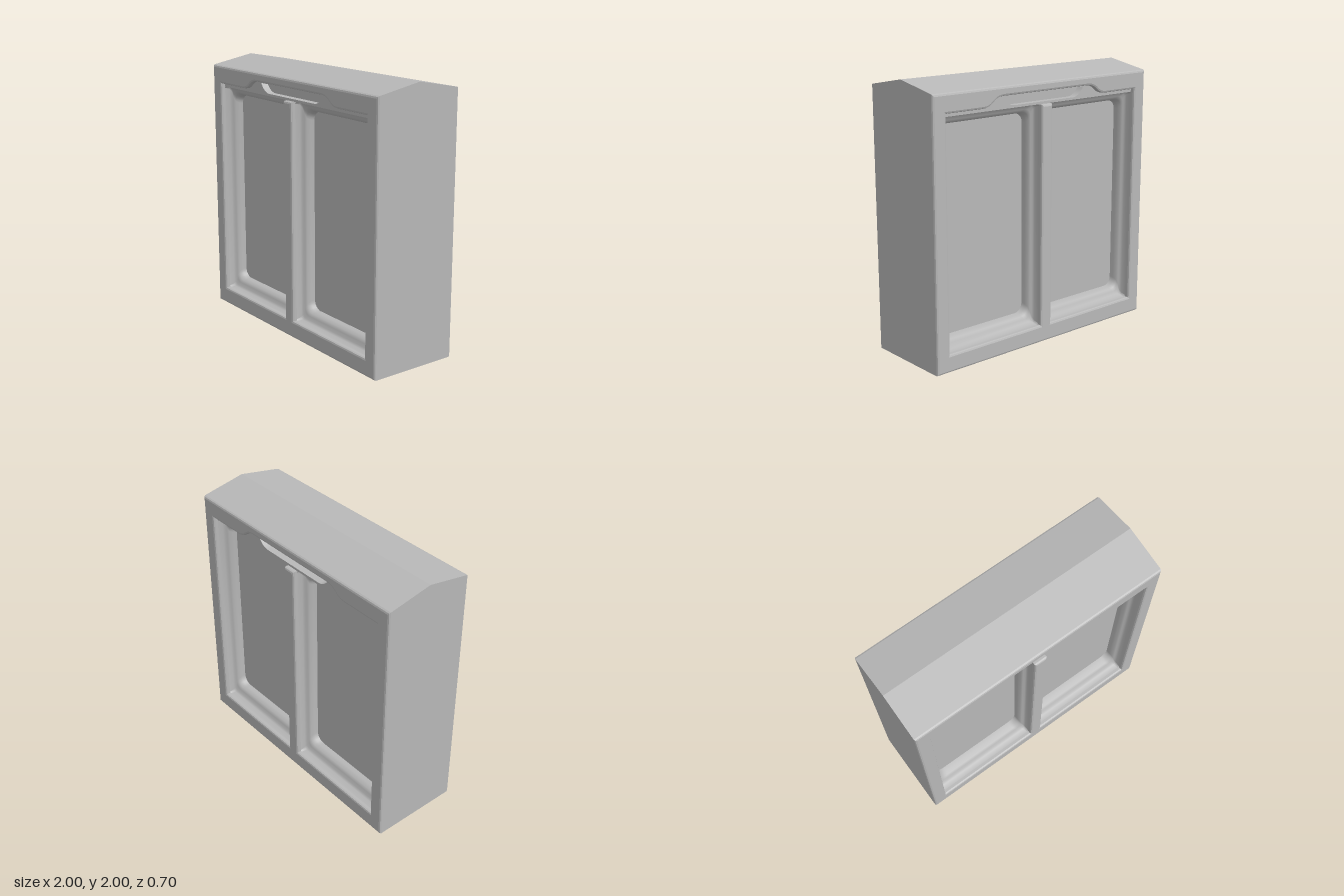
import * as THREE from 'three';
import { toCreasedNormals } from 'three/addons/utils/BufferGeometryUtils.js';

const grey = new THREE.MeshStandardMaterial({ color: 0xb8b8b8 });
grey.name = 'plain grey';

function part(name, geometry, crease = 0.3) {
  const mesh = new THREE.Mesh(toCreasedNormals(geometry, crease), grey);
  mesh.name = name;
  return mesh;
}

// Counter-clockwise rounded rectangle points
function roundedRect([x0, x1, y0, y1, r]) {
  const corners = [[x1 - r, y0 + r, -1], [x1 - r, y1 - r, 0], [x0 + r, y1 - r, 1], [x0 + r, y0 + r, 2]];
  const pts = [];
  for (const [cx, cy, q] of corners) {
    for (let i = 0; i <= 6; i++) {
      const a = (q + i / 6) * Math.PI / 2;
      pts.push(new THREE.Vector2(cx + r * Math.cos(a), cy + r * Math.sin(a)));
    }
  }
  return pts;
}

// Opening on both sides of the centre post, joined by a band with a raised middle
function openingPath() {
  const p = new THREE.Path();
  p.moveTo(-0.89, 0.13);
  p.lineTo(-0.05, 0.13);
  p.lineTo(-0.05, 1.77);
  p.lineTo(0.05, 1.77);
  p.lineTo(0.05, 0.13);
  p.lineTo(0.89, 0.13);
  p.lineTo(0.89, 1.795);
  p.lineTo(0.58, 1.795);
  p.bezierCurveTo(0.48, 1.795, 0.5, 1.865, 0.39, 1.865);
  p.lineTo(-0.39, 1.865);
  p.bezierCurveTo(-0.5, 1.865, -0.48, 1.795, -0.58, 1.795);
  p.lineTo(-0.89, 1.795);
  p.closePath();
  return p;
}

// Outer case: bevelled slab, its top raised to a ridge along the middle
function caseGeometry() {
  const shape = new THREE.Shape();
  shape.moveTo(-1, 0);
  shape.lineTo(1, 0);
  shape.lineTo(1, 1.93);
  shape.lineTo(-1, 1.93);
  shape.closePath();
  shape.holes.push(openingPath());
  const b = 0.015;
  const geo = new THREE.ExtrudeGeometry(shape, {
    depth: 0.7 - 2 * b, steps: 2, curveSegments: 10,
    bevelEnabled: true, bevelSize: b, bevelThickness: b, bevelOffset: -b, bevelSegments: 2,
  });
  geo.translate(0, 0, -0.35 + b);
  const pos = geo.attributes.position;
  for (let i = 0; i < pos.count; i++) {
    if (pos.getY(i) > 1.9) pos.setY(i, pos.getY(i) + 0.065 * (1 - Math.abs(pos.getZ(i)) / 0.35));
  }
  return geo;
}

// Stepped, softened surround running back from the opening to the sunken panel
const RINGS = [
  [0.05, 0.89, 0.13, 1.77, 0.012, 0.335],
  [0.053, 0.887, 0.133, 1.767, 0.02, 0.275],
  [0.06, 0.88, 0.145, 1.755, 0.03, 0.258],
  [0.073, 0.872, 0.17, 1.735, 0.05, 0.25],
  [0.082, 0.863, 0.19, 1.715, 0.065, 0.235],
  [0.087, 0.858, 0.2, 1.705, 0.07, 0.205],
  [0.09, 0.855, 0.205, 1.7, 0.07, 0.175],
];

function mirrorRing(ring, side) {
  const [x0, x1, ...rest] = ring;
  return side > 0 ? ring : [-x1, -x0, ...rest];
}

function surroundGeometry(side) {
  const positions = [], index = [];
  let n = 0;
  RINGS.forEach((ring, k) => {
    const pts = roundedRect(mirrorRing(ring, side));
    n = pts.length;
    // The first ring meets the recessed header at the top
    const z = k === 0 ? 0.314 : ring[5];
    for (const p of pts) positions.push(p.x, p.y, z);
    if (k === 0) return;
    for (let i = 0; i < n; i++) {
      const j = (i + 1) % n, a = (k - 1) * n, b = k * n;
      index.push(a + i, a + j, b + j, a + i, b + j, b + i);
    }
  });
  const geo = new THREE.BufferGeometry();
  geo.setAttribute('position', new THREE.Float32BufferAttribute(positions, 3));
  geo.setIndex(index);
  geo.computeVertexNormals();
  return geo;
}

// Recessed header strip with a tapered finger slot
function headerGeometry() {
  const shape = new THREE.Shape();
  shape.moveTo(-0.9, 1.77);
  shape.lineTo(0.9, 1.77);
  shape.lineTo(0.9, 1.89);
  shape.lineTo(-0.9, 1.89);
  shape.closePath();
  const slot = new THREE.Path();
  slot.moveTo(-0.38, 1.856);
  slot.quadraticCurveTo(-0.34, 1.79, -0.28, 1.787);
  slot.lineTo(0.28, 1.787);
  slot.quadraticCurveTo(0.34, 1.79, 0.38, 1.856);
  slot.closePath();
  shape.holes.push(slot);
  const geo = new THREE.ExtrudeGeometry(shape, { depth: 0.304, bevelEnabled: false, curveSegments: 8 });
  return geo.translate(0, 0, 0.01);
}

function face(name) {
  const group = new THREE.Group();
  group.name = name;
  for (const side of [1, -1]) {
    const label = side > 0 ? 'left' : 'right';
    group.add(part(label + 'Surround', surroundGeometry(side), 0.9));
    const last = RINGS[RINGS.length - 1];
    const panel = new THREE.ShapeGeometry(new THREE.Shape(roundedRect(mirrorRing(last, side))));
    panel.translate(0, 0, last[5]);
    group.add(part(label + 'Panel', panel));
  }
  group.add(part('header', headerGeometry()));
  const slotBack = new THREE.BoxGeometry(0.8, 0.09, 0.1);
  slotBack.translate(0, 1.825, 0.21);
  group.add(part('slotBack', slotBack));
  return group;
}

export function createModel() {
  const model = new THREE.Group();
  model.name = 'doubleWindowCase';
  model.add(part('case', caseGeometry()));
  // Both faces are alike
  model.add(face('frontFace'));
  const back = face('backFace');
  back.rotation.y = Math.PI;
  model.add(back);
  return model;
}
